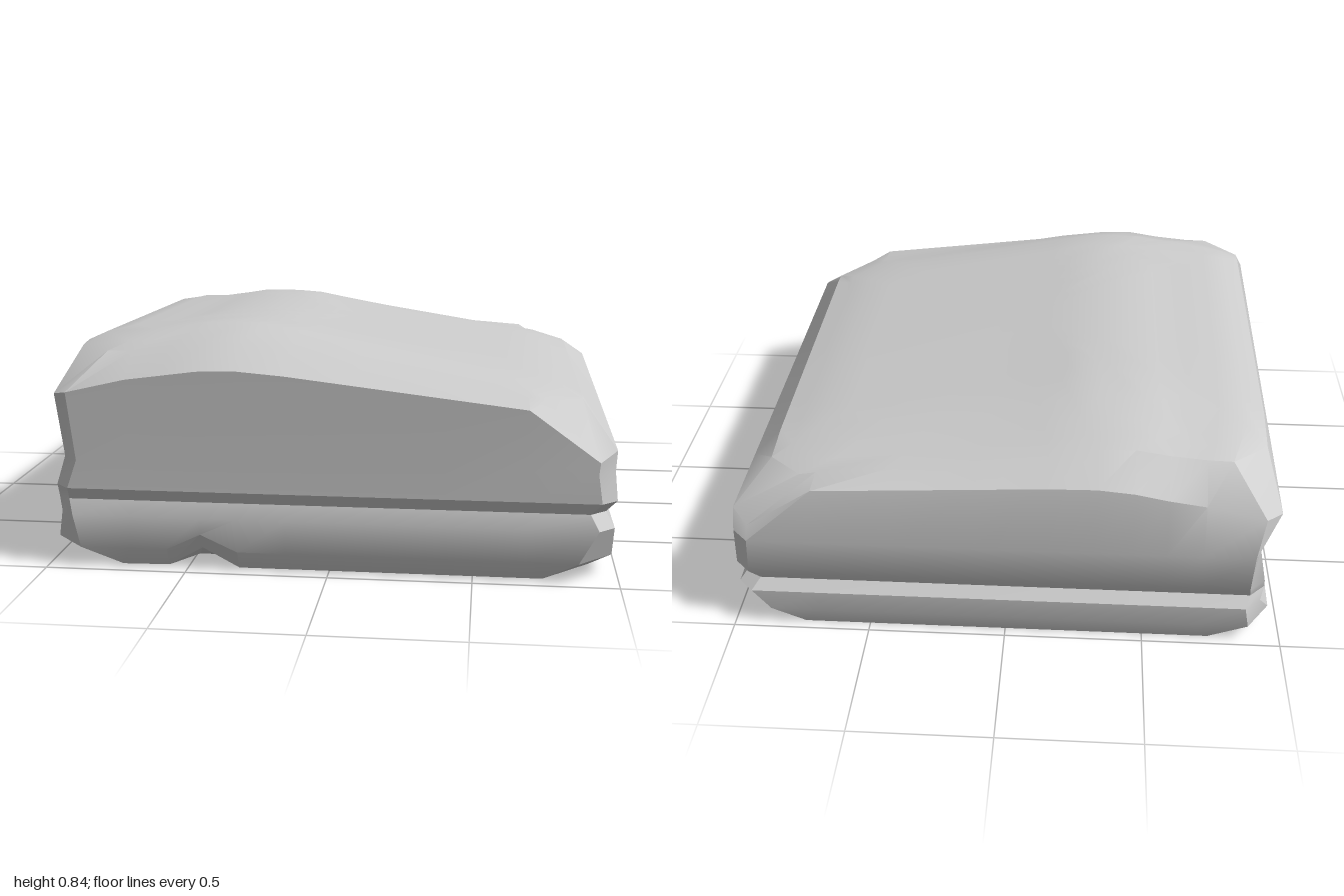
import * as THREE from 'three';
import { toCreasedNormals } from 'three/addons/utils/BufferGeometryUtils.js';

// Piecewise linear lookup through [position, value] pairs
function lookup(pairs, t) {
  if (t <= pairs[0][0]) return pairs[0][1];
  for (let i = 1; i < pairs.length; i++) {
    const [a, va] = pairs[i - 1], [b, vb] = pairs[i];
    if (t <= b) return va + (vb - va) * (t - a) / (b - a);
  }
  return pairs[pairs.length - 1][1];
}

// Top surface: a crest left of centre, a long slope to the right, falling off to the back
const crest = [[-0.92, 0.76], [-0.81, 0.81], [-0.64, 0.815], [-0.45, 0.845], [-0.25, 0.84], [0.72, 0.65], [0.87, 0.6]];
const fallOff = [[-0.84, 0.12], [-0.55, 0.05], [0.69, 0], [0.85, 0.055]];
const topY = (x, z) => lookup(crest, x) - lookup(fallOff, z) * (x > 0 ? 1 - 0.6 * x : 1);

// Shoulder line where the walls meet the upper bevel
const shoulder = [[-0.98, 0.615], [-0.7, 0.68], [-0.4, 0.72], [-0.25, 0.715], [0.72, 0.6], [0.92, 0.43], [0.98, 0.46]];
const shoulderY = (x, z) => lookup(shoulder, x) - 0.11 * (1 - z) / 2 * Math.min(1, (1 - x) / 1.6);

// Notch under the front edge
const notch = (x, z, h) => (z > 0.7 ? Math.max(0, 1 - Math.abs(x + 0.45) / 0.125) * h : 0);
// The grooves run lower towards the back
const tilted = (y, drop) => (x, z) => y - drop * (1 - z) / 2;

// Layers from the base up: wall positions, corner cut and height
const layers = [
  { left: -0.91, right: 0.91, front: 0.93, back: -0.96, cut: 0.17, y: (x, z) => notch(x, z, 0.07) },
  { left: -1.0, right: 0.98, front: 0.97, back: -0.98, cut: 0.12, y: (x, z) => 0.07 + notch(x, z, 0.06) },
  { left: -0.96, right: 0.98, front: 0.975, back: -0.98, cut: 0.055, y: tilted(0.19, 0.04) },
  { left: -0.975, right: 0.95, front: 0.955, back: -0.945, cut: 0.055, y: tilted(0.245, 0.06) },
  { left: -0.97, right: 0.985, front: 0.985, back: -0.97, cut: 0.055, y: tilted(0.29, 0.06) },
  { left: -0.94, right: 0.975, front: 0.98, back: -0.995, cut: 0.06, y: () => 0.39 },
  { left: -0.97, right: 0.98, front: 0.975, back: -0.95, cut: 0.06, y: shoulderY },
  { left: -0.92, right: 0.87, front: 0.85, back: -0.84, cut: 0.13, y: topY },
];
const alongX = [-0.7, -0.57, -0.45, -0.32, -0.15, 0.1, 0.4, 0.68];
const alongZ = [-0.55, -0.3, 0, 0.3, 0.65];

// One closed outline: a rectangle with cut corners and extra points along each side
function outline({ left, right, front, back, cut, y }, index) {
  const xs = [left + cut, ...alongX, right - cut];
  const zs = [back + cut, ...alongZ, front - cut];
  const points = [
    ...xs.map(x => [x, front]),
    ...[...zs].reverse().map(z => [right, z]),
    ...[...xs].reverse().map(x => [x, back]),
    ...zs.map(z => [left, z]),
  ];
  return points.map(([x, z]) => {
    // Lower left wall turns in slightly towards the back
    const px = x < -0.88 && index < 6 ? x + 0.04 * (1 - z) / 2 : x;
    return new THREE.Vector3(px, y(px, z), z);
  });
}

const shrink = (ring, s, height) => ring.map(p => new THREE.Vector3(p.x * s, height(p.x * s, p.z * s), p.z * s));

function stoneGeometry() {
  const walls = layers.map(outline);
  const base = shrink(walls[0], 0.86, () => 0);
  const rim = walls[walls.length - 1];
  const topRings = [0.92, 0.82, 0.7, 0.58, 0.46, 0.34, 0.22, 0.1].map(s => shrink(rim, s, topY));
  const rings = [base, ...walls, ...topRings];
  const n = base.length;
  const positions = rings.flat().flatMap(p => p.toArray());
  const index = [];
  for (let k = 0; k < rings.length - 1; k++) {
    for (let i = 0; i < n; i++) {
      const j = (i + 1) % n;
      const a = k * n + i, b = k * n + j, c = b + n, d = a + n;
      index.push(a, b, c, a, c, d);
    }
  }
  // Close the underside and the middle of the top
  const bottom = rings.length * n, top = bottom + 1, last = (rings.length - 1) * n;
  positions.push(0, 0, 0, 0, topY(0, 0), 0);
  for (let i = 0; i < n; i++) {
    const j = (i + 1) % n;
    index.push(bottom, j, i, top, last + i, last + j);
  }
  const geometry = new THREE.BufferGeometry();
  geometry.setAttribute('position', new THREE.Float32BufferAttribute(positions, 3));
  geometry.setIndex(index);
  return toCreasedNormals(geometry, 0.5);
}

export function createModel() {
  const group = new THREE.Group();
  group.name = 'stoneBlock';
  const stone = new THREE.Mesh(stoneGeometry(), new THREE.MeshStandardMaterial({ color: 0xcccccc }));
  stone.name = 'stone';
  group.add(stone);
  return group;
}
